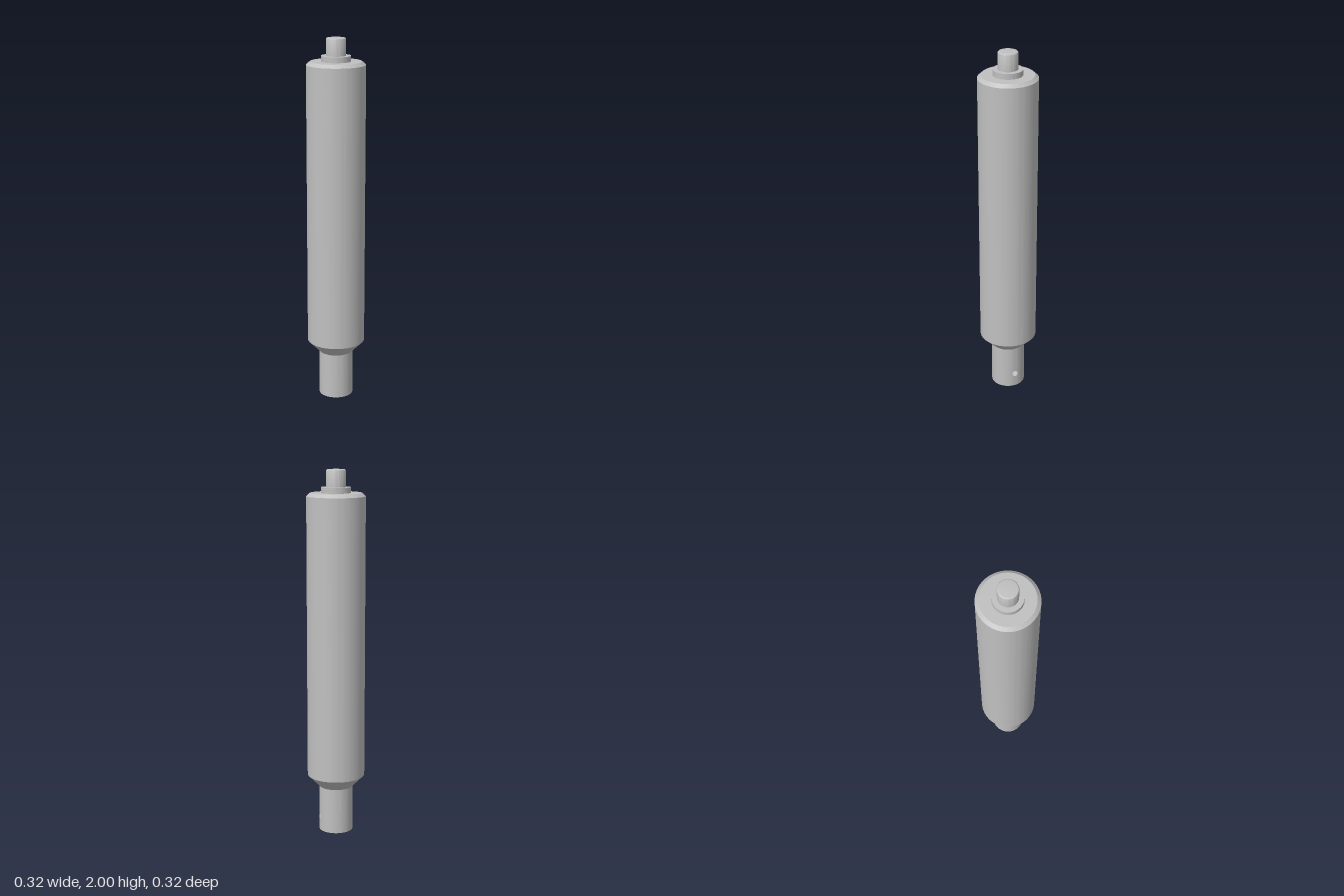
import * as THREE from 'three';
import { toCreasedNormals } from 'three/addons/utils/BufferGeometryUtils.js';

const SEGMENTS = 128;
const STEM_R = 0.093;
const BAND = [0.04, 0.12]; // heights of the stem band that holds the side hole
const HALF_ANGLE = Math.PI / 8; // half width of the drilled patch

const grey = new THREE.MeshStandardMaterial({ color: 0xc0c0c0 });
grey.name = 'plain grey';

function part(name, geometry) {
  const mesh = new THREE.Mesh(geometry, grey);
  mesh.name = name;
  return mesh;
}

// Revolved part with crisp edges from [radius, height] pairs
function turned(name, profile) {
  const points = profile.map(([r, y]) => new THREE.Vector2(r, y));
  return part(name, toCreasedNormals(new THREE.LatheGeometry(points, SEGMENTS), 0.5));
}

// Curved patch of the stem wall with a blind round hole, facing +x
function drilledPatch() {
  const sides = 32, holeR = 0.018, floorX = 0.03;
  const midY = (BAND[0] + BAND[1]) / 2, halfH = (BAND[1] - BAND[0]) / 2;
  const halfW = STEM_R * HALF_ANGLE;
  // each ring: [hole radius factor, blend towards the patch border, on the floor]
  const rings = [[0, 0, true], [1, 0, true], [1, 0, false]];
  for (let k = 1; k <= 4; k++) rings.push([1, k / 4, false]);
  const positions = [], index = [];
  rings.forEach(([f, blend, onFloor], j) => {
    for (let i = 0; i <= sides; i++) {
      const a = (i / sides) * Math.PI * 2;
      const c = Math.cos(a), s = Math.sin(a), m = Math.max(Math.abs(c), Math.abs(s));
      const u = THREE.MathUtils.lerp(holeR * f * c, (halfW * c) / m, blend);
      const v = THREE.MathUtils.lerp(holeR * f * s, (halfH * s) / m, blend);
      const x = onFloor ? floorX : STEM_R * Math.cos(u / STEM_R);
      positions.push(x, midY + v, -STEM_R * Math.sin(u / STEM_R));
      if (j > 0 && i < sides) {
        const outer = j * (sides + 1) + i, inner = outer - sides - 1;
        index.push(inner, outer, outer + 1);
        if (j > 1) index.push(inner, outer + 1, inner + 1);
      }
    }
  });
  const geometry = new THREE.BufferGeometry();
  geometry.setAttribute('position', new THREE.Float32BufferAttribute(positions, 3));
  geometry.setIndex(index);
  return part('stemSideHole', toCreasedNormals(geometry, 0.5));
}

export function createModel() {
  const model = new THREE.Group();
  model.name = 'cylindricalProbe';

  // Stem foot with the bore in its underside
  model.add(turned('stemFoot', [
    [0, 0.16], [0.022, 0.15], [0.022, 0], [STEM_R, 0], [STEM_R, BAND[0]],
  ]));

  // Stem band around the side hole
  const bandPoints = BAND.map((y) => new THREE.Vector2(STEM_R, y));
  model.add(part('stemBand', new THREE.LatheGeometry(
    bandPoints, SEGMENTS - 16, Math.PI / 2 + HALF_ANGLE, Math.PI * 2 - 2 * HALF_ANGLE)));
  model.add(drilledPatch());

  // Upper stem, cone and chamfered main barrel
  model.add(turned('barrel', [
    [STEM_R, BAND[1]], [STEM_R, 0.254], [0.158, 0.32], [0.158, 1.86], [0.139, 1.877], [0.079, 1.877],
  ]));

  // Collar on the barrel top
  model.add(turned('collar', [[0.079, 1.877], [0.079, 1.907], [0.0525, 1.907]]));

  // Tip pin with a small rounded rim
  const pin = [[0.0525, 1.907]];
  const round = 0.007;
  for (let k = 0; k <= 5; k++) {
    const a = (k / 5) * Math.PI / 2;
    pin.push([0.0525 - round + round * Math.cos(a), 2 - round + round * Math.sin(a)]);
  }
  pin.push([0, 2]);
  model.add(turned('tipPin', pin));

  return model;
}
